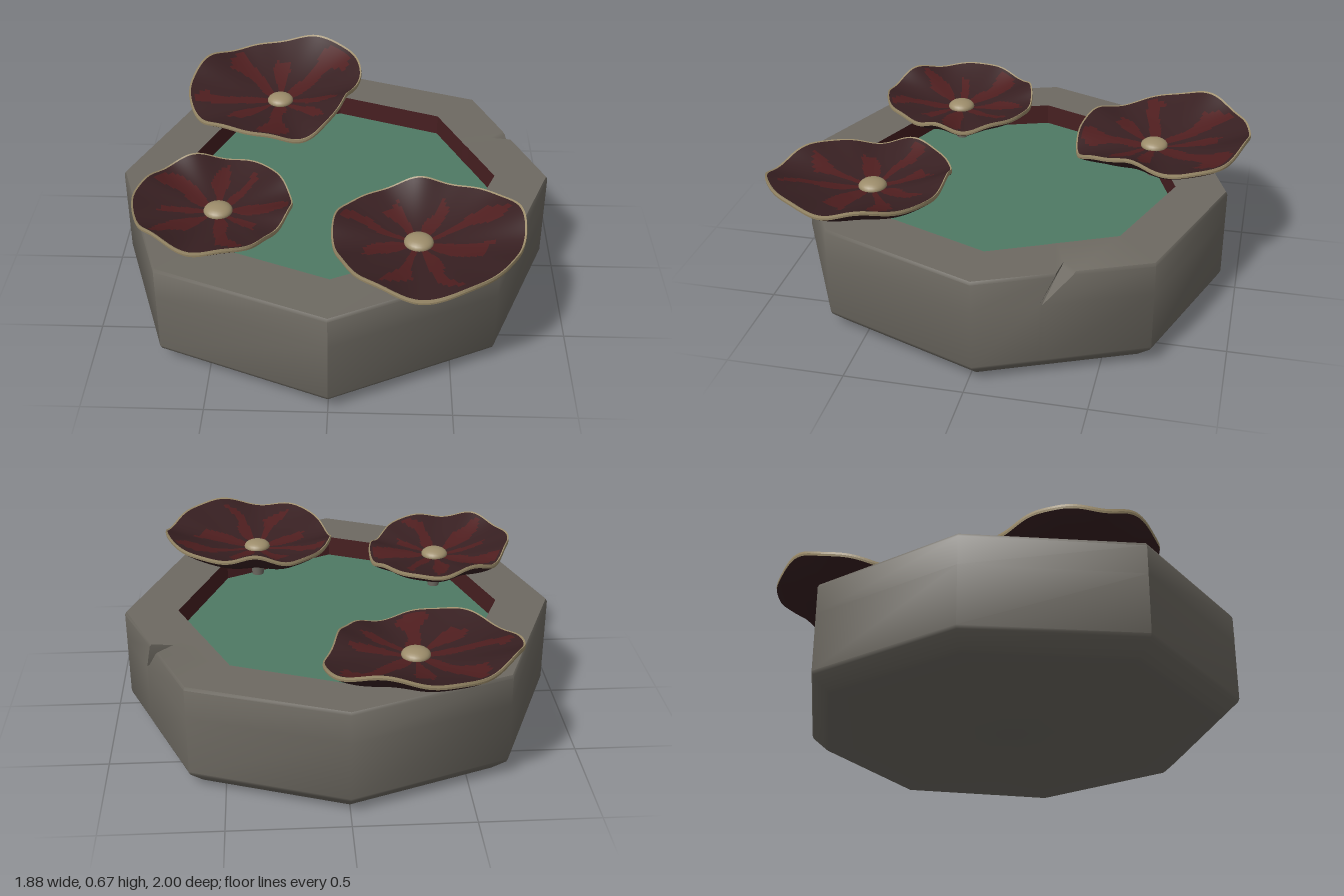
import * as THREE from 'three';
import { toCreasedNormals } from 'three/addons/utils/BufferGeometryUtils.js';

const mat = (name, color, side = THREE.FrontSide) => {
  const m = new THREE.MeshStandardMaterial({ color, side });
  m.name = name;
  return m;
};

// Surface through closed rings of [x, y, z]
function loft(rings) {
  const pos = [], n = rings[0].length;
  for (let r = 0; r < rings.length - 1; r++) {
    for (let i = 0; i < n; i++) {
      const j = (i + 1) % n;
      const [a, b, c, d] = [rings[r][i], rings[r][j], rings[r + 1][j], rings[r + 1][i]];
      pos.push(...a, ...b, ...c, ...a, ...c, ...d);
    }
  }
  const g = new THREE.BufferGeometry();
  g.setAttribute('position', new THREE.Float32BufferAttribute(pos, 3));
  g.computeVertexNormals();
  return g;
}

// Plan of the basin, counterclockwise from above; items 1 to 3 belong to the crack
const corners = [[0.65, -0.7], [0, -0.93], [-0.67, -0.68], [-0.945, 0], [-0.71, 0.71], [0, 1], [0.68, 0.66]];
const outerLow = [[0.94, -0.02], [0.833, -0.27], [0.829, -0.28], [0.825, -0.29], ...corners];
const outerTop = [[0.94, -0.02], [0.807, -0.333], [0.715, -0.345], [0.776, -0.405], ...corners];
const inner = [[0.705, -0.02], [0.6, -0.25], [0.58, -0.29], [0.56, -0.335], [0.47, -0.53], [0, -0.705],
  [-0.5, -0.51], [-0.71, 0], [-0.53, 0.53], [0, 0.75], [0.5, 0.5]];

// Flowers: bud position, bud height, lift, tilt in x and z, wave size, count and phase, rim outline
const flowers = [
  { x: -0.285, z: -0.575, y: 0.525, lift: 0.068, tx: 0, tz: -0.05, wave: 0.024, k: 4, phase: -0.17,
    rim: [[0.1, -0.74], [0.05, -0.9], [-0.1, -0.98], [-0.28, -1], [-0.48, -0.95], [-0.65, -0.8], [-0.72, -0.6],
      [-0.68, -0.42], [-0.56, -0.28], [-0.35, -0.22], [-0.12, -0.26], [0, -0.42], [0.05, -0.57]] },
  { x: -0.48, z: 0.38, y: 0.538, lift: 0.058, tx: -0.025, tz: 0, wave: 0.012, k: 6, phase: 0.6,
    rim: [[-0.17, 0.38], [-0.21, 0.21], [-0.32, 0.08], [-0.49, 0.04], [-0.7, 0.11], [-0.8, 0.28], [-0.83, 0.41],
      [-0.78, 0.58], [-0.66, 0.7], [-0.49, 0.74], [-0.33, 0.69], [-0.26, 0.6]] },
  { x: 0.355, z: 0.555, y: 0.522, lift: 0.075, tx: 0.022, tz: -0.005, wave: 0.017, k: 5, phase: 3.05,
    rim: [[0.78, 0.6], [0.76, 0.42], [0.63, 0.28], [0.42, 0.22], [0.2, 0.25], [0.04, 0.39], [0, 0.53],
      [0.03, 0.7], [0.12, 0.87], [0.29, 0.97], [0.49, 0.98], [0.67, 0.85]] },
];

function makeFlower(f, m) {
  const group = new THREE.Group();
  group.name = 'flower';
  const SEG = 144, RINGS = 18, THICK = 0.018;
  const curve = new THREE.CatmullRomCurve3(f.rim.map(([x, z]) => new THREE.Vector3(x, 0, z)), true);
  const rim = curve.getSpacedPoints(SEG).slice(0, SEG);
  const angles = rim.map(p => Math.atan2(p.z - f.z, p.x - f.x));
  const point = (i, t, drop = 0) => {
    const a = angles[i], p = rim[i];
    const y = f.y + (f.lift + f.tx * Math.cos(a) + f.tz * Math.sin(a)) * t ** 1.7
      + f.wave * Math.sin(f.k * a + f.phase) * t ** 2.3 + 0.007 * Math.sin(9 * a + f.phase) * t ** 3;
    return [f.x + (p.x - f.x) * t, y - drop, f.z + (p.z - f.z) * t];
  };
  // Irregular radial streaks, wide near the bud and narrowing toward the rim
  const isStreak = (i, t) => {
    const a = angles[i];
    const s = Math.cos(8 * a + f.phase + 0.9 * Math.sin(3 * a + f.x * 5) + 0.45 * Math.sin(8 * t + 5 * a));
    const end = 0.8 + 0.15 * Math.sin(5 * a + f.phase * 3);
    return t < end && s > 0.95 * t - 0.3 + 0.35 * Math.sin(7 * t + 3 * a);
  };

  // Petal disc: shared vertices for smooth normals, faces sorted by colour
  const build = (dropAt, flip, streaks) => {
    const pos = [], faces = [[], []];
    for (let r = 0; r <= RINGS; r++) {
      for (let i = 0; i < SEG; i++) pos.push(...point(i, r / RINGS, dropAt(r / RINGS)));
    }
    for (let r = 0; r < RINGS; r++) {
      for (let i = 0; i < SEG; i++) {
        const j = (i + 1) % SEG, a = r * SEG + i, b = r * SEG + j, c = b + SEG, d = a + SEG;
        const out = faces[streaks && isStreak(i, (r + 0.5) / RINGS) ? 1 : 0];
        const tris = r === 0 ? [[a, d, c]] : [[a, d, c], [a, c, b]];
        for (const t of tris) out.push(...(flip ? [t[0], t[2], t[1]] : t));
      }
    }
    const g = new THREE.BufferGeometry();
    g.setAttribute('position', new THREE.Float32BufferAttribute(pos, 3));
    g.setIndex([...faces[0], ...faces[1]]);
    g.addGroup(0, faces[0].length, 0);
    g.addGroup(faces[0].length, faces[1].length, 1);
    g.computeVertexNormals();
    return g;
  };
  const add = (name, geo, material) => {
    const mesh = new THREE.Mesh(geo, material);
    mesh.name = name;
    group.add(mesh);
    return mesh;
  };
  add('petalTop', build(() => 0, false, true), [m.petal, m.streak]);
  add('petalUnderside', build(t => THICK + 0.045 * (1 - t ** 4), true, false), [m.petal, m.streak]);

  // Pale edge band around the wavy rim, turned slightly onto the top
  const edgeRing = (t, drop) => rim.map((p, i) => point(i, t, drop));
  add('petalEdge', loft([edgeRing(1, THICK), edgeRing(1.004, THICK / 2), edgeRing(1, -0.002),
    edgeRing(0.982, -0.001)]), m.pale);

  const bud = add('bud', new THREE.SphereGeometry(0.061, 24, 14), m.pale);
  bud.scale.y = 0.5;
  bud.position.set(f.x, f.y + 0.006, f.z);
  const stem = add('stem', new THREE.CylinderGeometry(0.035, 0.022, 0.16, 14), m.stone);
  stem.position.set(f.x, f.y - 0.13, f.z);
  return group;
}

export function createModel() {
  const m = {
    stone: mat('stone', 0x6e6a62),
    lining: mat('lining', 0x471f21, THREE.DoubleSide),
    water: mat('water', 0x4f7a64),
    petal: mat('petal', 0x382022, THREE.DoubleSide),
    streak: mat('petalStreak', 0x4f1e1f, THREE.DoubleSide),
    pale: mat('paleEdge', 0x9c8c6a, THREE.DoubleSide),
  };
  const model = new THREE.Group();
  model.name = 'flowerBasin';
  const add = (name, geo, material) => {
    const mesh = new THREE.Mesh(geo, material);
    mesh.name = name;
    model.add(mesh);
  };
  const ring = (pts, y, s = 1) => pts.map(([x, z]) => [x * s, y, z * s]);
  const shoulder = outerLow.map(([x, z], i) =>
    [x + (outerTop[i][0] - x) * 0.9, z + (outerTop[i][1] - z) * 0.9]);

  // Stone basin with softened corners, chamfered foot, cracked wall and flat rim
  add('basin', toCreasedNormals(loft([
    ring(outerLow, 0, 0), ring(outerLow, 0, 0.915), ring(outerLow, 0.012, 0.93), ring(outerLow, 0.065, 0.993),
    ring(outerLow, 0.08), ring(outerLow, 0.34), ring(shoulder, 0.467), ring(outerTop, 0.48, 0.993),
    ring(inner, 0.48),
  ]), 0.85), m.stone);
  // Dark inner wall and the water surface
  add('innerWall', loft([ring(inner, 0.48), ring(inner, 0.38)]), m.lining);
  add('water', loft([ring(inner, 0.385), ring(inner, 0.385, 0)]), m.water);

  for (const f of flowers) model.add(makeFlower(f, m));
  return model;
}
